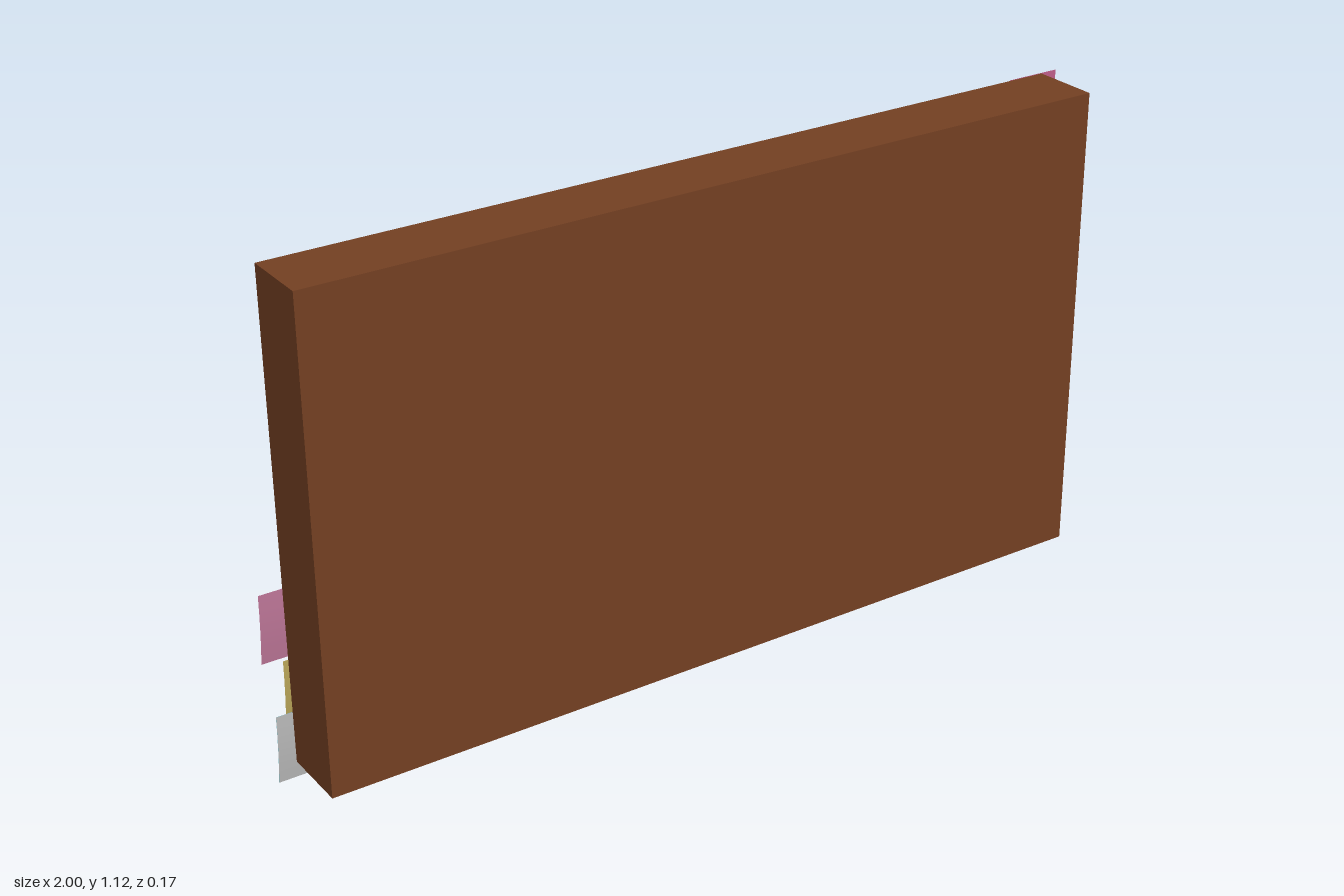
import * as THREE from 'three';

const mat = (name, color) => {
  const m = new THREE.MeshStandardMaterial({ color, side: THREE.DoubleSide });
  m.name = name;
  return m;
};

export function createModel() {
  const wood = mat('brown wood', 0x744022);
  const cork = mat('tan cork', 0xb0844f);
  const paper = mat('grey paper', 0xbcbcbc);
  const pink = mat('pink note', 0xc0789a);
  const rose = mat('rose note', 0xc0608a);
  const yellow = mat('yellow note', 0xbca85a);
  const teal = mat('teal note', 0x80bec6);

  const group = new THREE.Group();
  const add = (name, geometry, material) => {
    const mesh = new THREE.Mesh(geometry, material);
    mesh.name = name;
    group.add(mesh);
    return mesh;
  };

  // Frame: solid front panel with a rim around a shallow recess at the back
  const X0 = -0.95, X1 = 0.915, Y0 = 0.045, Y1 = 1.12, RIM = 0.055;
  const ZF = 0.085, ZB = -0.07, ZC = -0.045;
  const rect = (Type, x0, y0, x1, y1) => {
    const s = new Type();
    s.moveTo(x0, y0);
    s.lineTo(x1, y0);
    s.lineTo(x1, y1);
    s.lineTo(x0, y1);
    s.closePath();
    return s;
  };
  const panel = new THREE.BoxGeometry(X1 - X0, Y1 - Y0, ZF - ZC);
  panel.translate((X0 + X1) / 2, (Y0 + Y1) / 2, (ZF + ZC) / 2);
  add('frontPanel', panel, wood);

  const outline = rect(THREE.Shape, X0, Y0, X1, Y1);
  outline.holes.push(rect(THREE.Path, X0 + RIM, Y0 + RIM, X1 - RIM, Y1 - RIM));
  const rim = new THREE.ExtrudeGeometry(outline, { depth: ZC - ZB, bevelEnabled: false });
  add('frameRim', rim.translate(0, 0, ZB), wood);

  // Flat sheet facing the back
  const sheet = (name, x0, y0, x1, y1, z, material) => {
    const g = new THREE.PlaneGeometry(x1 - x0, y1 - y0).rotateY(Math.PI);
    add(name, g.translate((x0 + x1) / 2, (y0 + y1) / 2, z), material);
  };
  sheet('corkBoard', X0 + RIM, Y0 + RIM, X1 - RIM, Y1 - RIM, ZC - 0.002, cork);

  // Pinned papers: x0, y0, x1, y1, z
  [
    [0.57, 0.407, 0.838, 0.878, -0.050],
    [-0.21, 0.665, 0.52, 1.049, -0.050],
    [-0.885, 0.555, -0.29, 1.026, -0.054],
    [-0.335, 0.194, 0.16, 0.585, -0.050],
    [-0.02, 0.14, 0.555, 0.611, -0.060],
  ].forEach((p, i) => sheet('pinnedPaper' + (i + 1), ...p, paper));

  // Sticky notes: flat at the top, lifting away from the rim at the bottom
  const W = 0.13, H = 0.16;
  const note = (name, x, y, material, lift = 0) => {
    const g = new THREE.PlaneGeometry(W, H, 1, 4).rotateY(Math.PI);
    const p = g.attributes.position;
    for (let i = 0; i < p.count; i++) {
      const t = 0.5 - p.getY(i) / H;
      p.setZ(i, -0.073 - 0.012 * t * t + lift);
    }
    g.computeVertexNormals();
    add(name, g.translate(x + W / 2, y + H / 2, 0), material);
  };
  note('leftTopNote', 0.828, 0.96, rose);
  note('leftYellowNote', 0.828, 0.28, yellow);
  note('leftTealNote', 0.868, 0.12, teal);
  note('leftPinkNote', 0.843, 0, pink);
  note('rightPinkNote', -1, 0.28, pink);
  note('rightYellowNote', -0.96, 0.12, yellow);
  note('rightTealNote', -0.985, 0, teal);
  note('rightTealNoteFront', -0.985, 0, paper, 0.001);

  return group;
}
